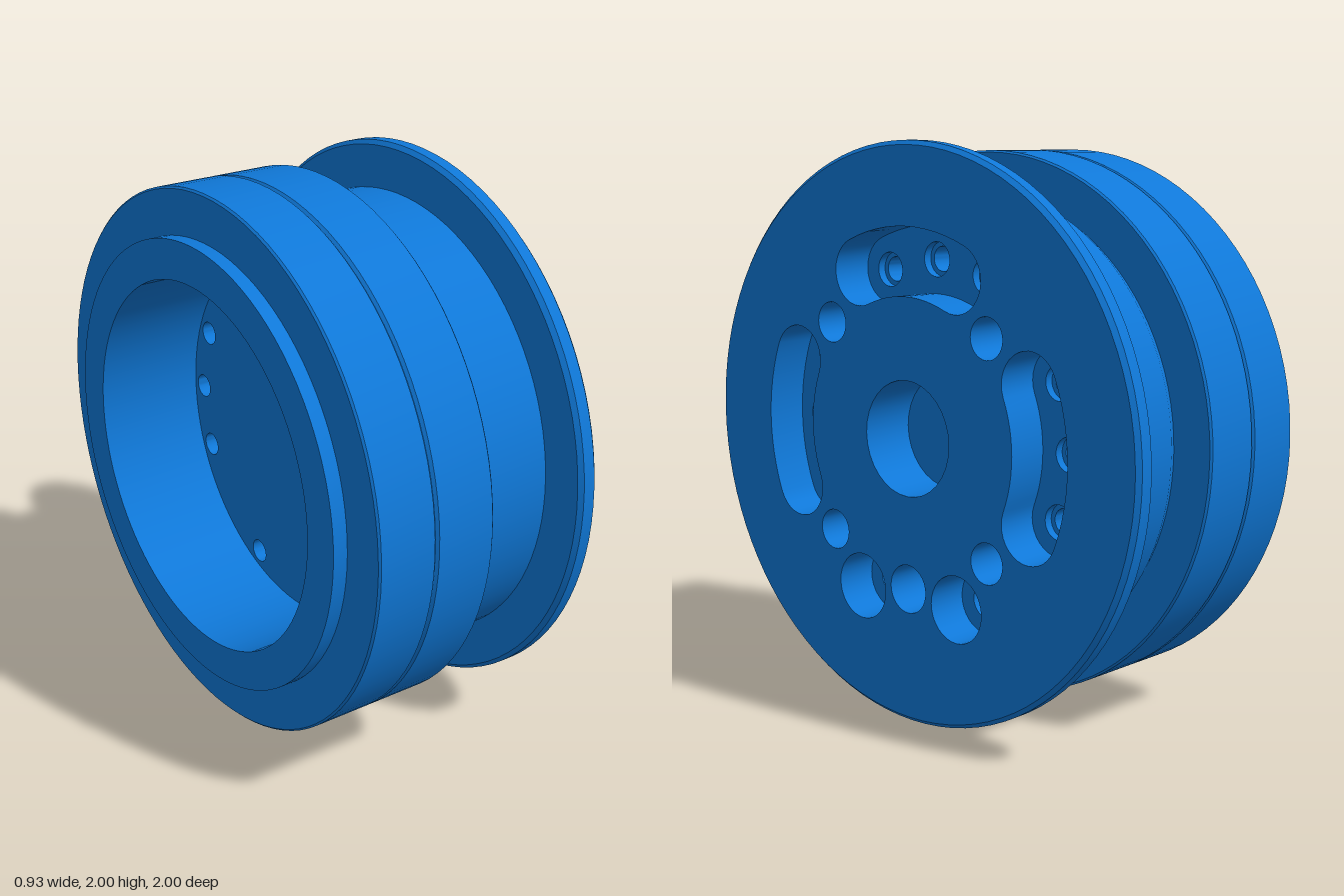
import * as THREE from 'three';
import { toCreasedNormals } from 'three/addons/utils/BufferGeometryUtils.js';

const rad = THREE.MathUtils.degToRad;
const FRONT = 0.46, BACK = -0.465, WEB = -0.06; // stations along the axle

// Counter-clockwise outline of a curved slot on the pitch radius R; half = 0 gives a circle
function outline(angle, R, half, w) {
  const pts = [], a = rad(angle), h = rad(half);
  const polar = (r, t) => new THREE.Vector2(r * Math.cos(t), r * Math.sin(t));
  const cap = (t, from) => {
    const c = polar(R, t);
    for (let i = 0; i < 16; i++) pts.push(polar(w, from + (Math.PI * i) / 16).add(c));
  };
  const arc = (r, from, to) => {
    if (half) for (let i = 0; i < 12; i++) pts.push(polar(r, from + ((to - from) * i) / 12));
  };
  arc(R + w, a - h, a + h);
  cap(a + h, a + h);
  arc(R - w, a + h, a - h);
  cap(a - h, a - h + Math.PI);
  return pts;
}

// Inward-facing wall of an opening
function wall(pts, z0, z1) {
  const pos = [];
  pts.forEach((p, i) => {
    const q = pts[(i + 1) % pts.length];
    pos.push(p.x, p.y, z0, q.x, q.y, z1, q.x, q.y, z0);
    pos.push(p.x, p.y, z0, p.x, p.y, z1, q.x, q.y, z1);
  });
  const g = new THREE.BufferGeometry();
  g.setAttribute('position', new THREE.Float32BufferAttribute(pos, 3));
  return toCreasedNormals(g, 0.6);
}

// Flat face with openings
function face(pts, holes, z) {
  const shape = new THREE.Shape(pts);
  holes.forEach((h) => shape.holes.push(new THREE.Path(h)));
  return new THREE.ShapeGeometry(shape).translate(0, 0, z);
}

const circle = (r, n = 96) => Array.from({ length: n }, (_, i) =>
  new THREE.Vector2(r * Math.cos((i / n) * 2 * Math.PI), r * Math.sin((i / n) * 2 * Math.PI)));

export function createModel() {
  const model = new THREE.Group();
  model.name = 'flangedWheel';
  const wheel = new THREE.Group();
  wheel.name = 'wheelBody';
  const material = new THREE.MeshStandardMaterial({ color: 0x0f78d8 });
  const add = (name, geometry) => {
    const mesh = new THREE.Mesh(geometry, material);
    mesh.name = name;
    wheel.add(mesh);
  };

  // Turned shell: bore, rear lip, two tread bands, drum and flange
  const profile = [
    [0.66, WEB], [0.66, BACK], [0.8, BACK], [0.8, -0.412],
    [0.958, -0.412], [0.965, -0.405], [0.965, -0.196], [0.955, -0.187],
    [0.965, -0.178], [0.965, 0.038], [0.958, 0.045], [0.815, 0.045],
    [0.832, 0.08], [0.832, 0.385], [0.985, 0.385], [1, 0.4], [1, 0.445], [0.985, FRONT],
  ].map(([r, z]) => new THREE.Vector2(r, z));
  add('shell', toCreasedNormals(new THREE.LatheGeometry(profile, 96).rotateX(Math.PI / 2), 0.4));

  // Pockets cut in the front face, with the angles of their bolt holes
  const pockets = [
    { name: 'topSlot', angle: 90, R: 0.6, half: 22.5, w: 0.117, depth: 0.15, bolts: [67.5, 90, 112.5] },
    { name: 'rightSlot', angle: 0, R: 0.6, half: 22.5, w: 0.117, depth: 0.15, bolts: [-22.5, 0, 22.5] },
    { name: 'leftSlot', angle: 180, R: 0.6, half: 22.5, w: 0.117, depth: 0.15, bolts: [157.5, 180, 202.5] },
    { name: 'lowerPocket', angle: -67.5, R: 0.6, half: 0, w: 0.117, depth: 0.15, bolts: [-67.5] },
    { name: 'lowerPocket', angle: -112.5, R: 0.6, half: 0, w: 0.117, depth: 0.15, bolts: [-112.5] },
    { name: 'bottomHole', angle: -90, R: 0.525, half: 0, w: 0.085, depth: 0.2, bolts: [] },
    { name: 'axleSocket', angle: 0, R: 0, half: 0, w: 0.2, depth: 0.2, bolts: [] },
    ...[45, 135, 225, 315].map((angle) => (
      { name: 'pinHole', angle, R: 0.525, half: 0, w: 0.071, depth: 0.2, bolts: [] })),
  ];
  const openings = [], bores = [];
  for (const p of pockets) {
    const edge = outline(p.angle, p.R, p.half, p.w), floor = FRONT - p.depth;
    const seats = p.bolts.map((a) => outline(a, 0.6, 0, 0.06));
    openings.push(edge);
    add(p.name + 'Wall', wall(edge, floor, FRONT));
    add(p.name + 'Floor', face(edge, seats, floor));
    // Stepped bolt holes running through the web
    p.bolts.forEach((a, i) => {
      const bore = outline(a, 0.6, 0, 0.043), step = floor - 0.03;
      bores.push(bore);
      add('boltSeatWall', wall(seats[i], step, floor));
      add('boltSeat', face(seats[i], [bore], step));
      add('boltHole', wall(bore, WEB, step));
    });
  }

  // Front face of the flange and rear face of the web
  add('flangeFace', face(circle(0.985), openings, FRONT));
  add('webBack', face(circle(0.66), bores, 0).rotateY(Math.PI).translate(0, 0, WEB));

  // Lay the axle along x and stand the wheel on the ground
  wheel.rotation.y = Math.PI / 2;
  wheel.position.y = 1;
  model.add(wheel);
  return model;
}
